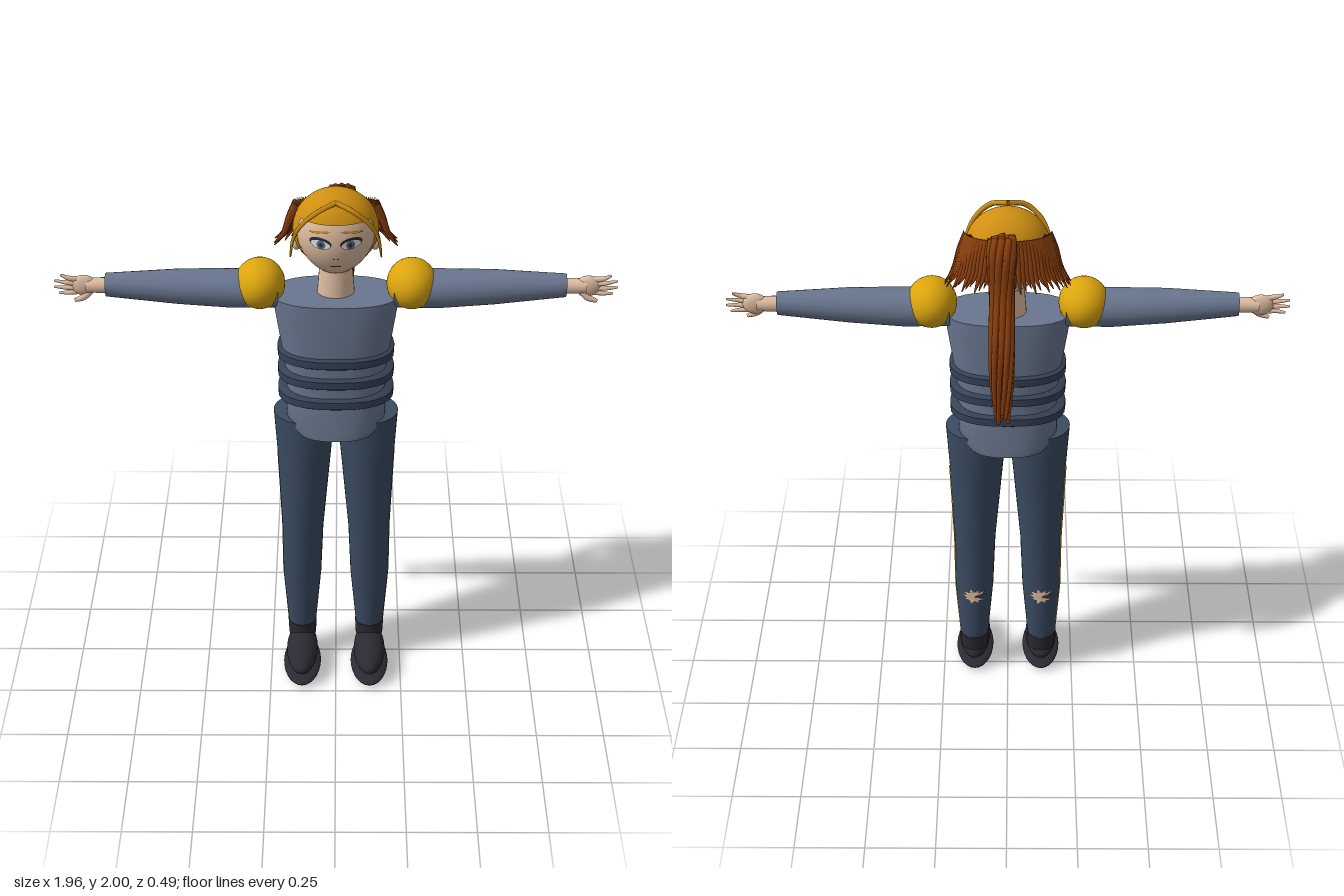
import * as THREE from 'three';
import { toCreasedNormals } from 'three/addons/utils/BufferGeometryUtils.js';

const mat = (name, color, side = THREE.FrontSide) => {
  const m = new THREE.MeshStandardMaterial({ color, side });
  m.name = name;
  return m;
};

export function createModel() {
  const root = new THREE.Group();
  const skin = mat('skin', 0xe0bda2), tunic = mat('tunic', 0x69768f), denim = mat('trousers', 0x3a4b62);
  const band = mat('belt', 0x364256), black = mat('shoe', 0x2b2a32, THREE.DoubleSide);
  const gold = mat('gold', 0xdca50e, THREE.DoubleSide), blond = mat('hair', 0xcf8f12, THREE.DoubleSide);
  const auburn = mat('auburn', 0x8c3f0c), white = mat('eyeWhite', 0xf0efee, THREE.DoubleSide);
  const iris = mat('iris', 0x586a92, THREE.DoubleSide);

  const add = (name, geo, material, parent = root) => {
    const m = new THREE.Mesh(geo, material);
    m.name = name;
    parent.add(m);
    return m;
  };
  const group = (name) => {
    const g = new THREE.Group();
    g.name = name;
    root.add(g);
    return g;
  };
  const ball = (x, y, z, rx, ry, rz) =>
    new THREE.SphereGeometry(1, 28, 18).scale(rx, ry, rz).translate(x, y, z);

  // Capped tube through elliptical sections [y, cx, cz, rx, rz]; power < 1 squares it off
  const loft = (rows, power = 1, sides = 28) => {
    const n = rows.length - 1, g = new THREE.CylinderGeometry(1, 1, 1, sides, n), p = g.attributes.position;
    const sq = (v) => Math.sign(v) * Math.abs(v) ** power;
    for (let i = 0; i < p.count; i++) {
      const [y, cx, cz, rx, rz] = rows[Math.round((p.getY(i) + 0.5) * n)];
      p.setXYZ(i, cx + sq(p.getX(i)) * rx, y, cz + sq(p.getZ(i)) * rz);
    }
    return toCreasedNormals(g, 0.8);
  };

  // Tapered strand along a curve
  const strand = (pts, r, tip = 0.1, seg = 8, sides = 6) => {
    const curve = new THREE.CatmullRomCurve3(pts.map((q) => new THREE.Vector3(...q)));
    const g = new THREE.TubeGeometry(curve, seg, r, sides), p = g.attributes.position;
    const v = new THREE.Vector3();
    for (let i = 0; i < p.count; i++) {
      const t = Math.floor(i / (sides + 1)) / seg, c = curve.getPointAt(t);
      v.fromBufferAttribute(p, i).sub(c).multiplyScalar(1 - (1 - tip) * t * t).add(c);
      p.setXYZ(i, v.x, v.y, v.z);
    }
    return g;
  };

  // Torso and belts
  add('torso', loft([
    [1.08, 0, 0.005, 0.155, 0.147], [1.11, 0, 0.005, 0.178, 0.145], [1.2, 0, 0.005, 0.18, 0.13],
    [1.28, 0, 0.005, 0.175, 0.125], [1.42, 0, 0.005, 0.195, 0.13], [1.55, 0, 0.005, 0.215, 0.125],
    [1.61, 0, 0.005, 0.22, 0.122]], 0.8), tunic);
  for (const y of [1.225, 1.308, 1.39])
    add('belt', loft([[-0.023, 0.19, 0.128], [-0.014, 0.207, 0.141], [0.014, 0.207, 0.141], [0.023, 0.19, 0.128]]
      .map(([dy, rx, rz]) => [y + dy, 0, 0.005, rx, rz]), 0.8), band);
  add('neck', loft([[1.6, 0, -0.005, 0.066, 0.06], [1.74, 0, -0.005, 0.055, 0.05]]), skin);

  // Head narrowing to the chin
  const HY = 1.845, HX = 0.134, HR = 0.155, HZ = 0.112;
  const jaw = (v) => (v < 0 ? 1 - 0.14 * v * v : 1);
  const headGeo = new THREE.SphereGeometry(1, 32, 24), hp = headGeo.attributes.position;
  for (let i = 0; i < hp.count; i++) {
    const v = hp.getY(i);
    hp.setXYZ(i, hp.getX(i) * HX * jaw(v), HY + v * HR, hp.getZ(i) * HZ);
  }
  add('head', toCreasedNormals(headGeo, 1), skin);

  // Face details laid on the head surface
  const face = group('face');
  const onFace = (name, x, y, rx, ry, lift, material, tilt = 0) => {
    const g = new THREE.CircleGeometry(1, 20).scale(rx, ry, 1).rotateZ(tilt).translate(x, y, 0);
    const p = g.attributes.position;
    for (let i = 0; i < p.count; i++) {
      const v = (p.getY(i) - HY) / HR, u = p.getX(i) / (HX * jaw(v));
      p.setZ(i, HZ * Math.sqrt(Math.max(0, 1 - u * u - v * v)) + lift);
    }
    g.computeVertexNormals();
    add(name, g, material, face);
  };
  for (const s of [1, -1]) {
    onFace('lash', s * 0.052, 1.849, 0.038, 0.02, 0.002, black, s * 0.12);
    onFace('eyeWhite', s * 0.052, 1.844, 0.033, 0.016, 0.004, white, s * 0.12);
    onFace('iris', s * 0.05, 1.845, 0.015, 0.016, 0.006, iris);
    onFace('pupil', s * 0.05, 1.845, 0.007, 0.008, 0.008, black);
    onFace('eyebrow', s * 0.055, 1.888, 0.038, 0.004, 0.004, blond, -s * 0.12);
    onFace('nostril', s * 0.007, 1.79, 0.003, 0.003, 0.003, auburn);
    add('ear', ball(s * 0.135, 1.8, 0.005, 0.016, 0.025, 0.015), skin);
  }
  onFace('mouth', 0, 1.755, 0.02, 0.003, 0.003, auburn);

  // Hair: a back shell, a top cap and two parted bangs
  const hair = group('hair');
  add('backHair', new THREE.SphereGeometry(1, 32, 20, 0, Math.PI * 2, 1.1, Math.PI - 1.1)
    .rotateX(Math.PI / 2).scale(0.148, 0.142, 0.11).translate(0, 1.856, 0), blond, hair);
  add('topHair', new THREE.SphereGeometry(1, 32, 12, 0, Math.PI * 2, 0, 1.14)
    .scale(0.148, 0.144, 0.12).translate(0, 1.856, 0), blond, hair);
  for (const s of [1, -1])
    add('bang', strand([[0, 1.985, 0.075], [s * 0.06, 1.965, 0.105], [s * 0.115, 1.915, 0.1],
      [s * 0.145, 1.85, 0.08], [s * 0.155, 1.78, 0.07]], 0.01, 0.3, 14), blond, hair);

  // Flaring fringe around the back of the head
  const fringe = group('fringe');
  for (let i = 0; i < 38; i++) {
    const a = Math.PI * i / 37, c = Math.cos(a), d = Math.sin(a), k = (i % 3) * 0.012;
    add('fringeStrand', strand([[c * 0.135, 1.93, -0.035 - d * 0.065], [c * 0.16, 1.87, -0.04 - d * 0.085],
      [c * 0.18, 1.81, -0.05 - d * 0.09], [c * 0.215, 1.75 + k, -0.07 - d * 0.075]], 0.016), auburn, fringe);
  }

  // Ponytail of bundled strands
  const tail = group('ponytail');
  const path = [[1.9, -0.085, 1], [1.95, -0.105, 1], [1.9, -0.135, 1.1], [1.77, -0.145, 0.9],
    [1.58, -0.208, 1], [1.43, -0.216, 0.9], [1.28, -0.21, 0.6]];
  for (let i = 0; i < 11; i++) {
    const a = i * Math.PI * 2 / 10, r = i < 10 ? 1 : 0;
    add('ponytailStrand', strand(path.map(([y, z, w], j) => [
      0.02 + r * w * 0.036 * Math.cos(a + j * 0.25), y + (j === 6 ? (i % 3) * 0.02 : 0),
      z + r * w * 0.019 * Math.sin(a + j * 0.25)]), 0.014, 0.5, 24), auburn, tail);
  }

  // Limbs, mirrored
  const legRows = [[0.15, 0.13, 0.002, 0.052, 0.052], [0.4, 0.128, 0.007, 0.072, 0.068],
    [0.62, 0.124, 0.014, 0.077, 0.076], [0.95, 0.116, 0.008, 0.098, 0.102], [1.13, 0.114, 0.005, 0.111, 0.105]];
  for (const s of [1, -1]) {
    const side = s > 0 ? 'left' : 'right';
    const arm = group(side + 'Arm'), leg = group(side + 'Leg');

    // Sleeve and shoulder
    add('shoulder', ball(s * 0.264, 1.642, 0, 0.088, 0.088, 0.1), gold, arm);
    add('sleeve', loft([[0.2, 1.622, 0.066, 0.072], [0.36, 1.622, 0.068, 0.074], [0.55, 1.628, 0.061, 0.063],
      [0.8, 1.634, 0.042, 0.037]].map(([x, y, ry, rz]) => [x, -s * y, 0, ry, rz])).rotateZ(-s * Math.PI / 2), tunic, arm);

    // Hand
    add('wrist', strand([[s * 0.79, 1.632, 0], [s * 0.87, 1.632, 0]], 0.028, 0.9, 3, 14), skin, arm);
    add('palm', ball(s * 0.877, 1.632, 0, 0.045, 0.039, 0.019), skin, arm);
    [[0.955, 1.672], [0.978, 1.65], [0.98, 1.626], [0.965, 1.602]].forEach(([x, y], i) =>
      add('finger', strand([[s * 0.89, 1.656 - i * 0.016, 0], [s * 0.93, 1.662 - i * 0.019, 0.004],
        [s * x, y, 0]], 0.0105, 0.4), skin, arm));
    add('thumb', strand([[s * 0.855, 1.612, 0.004], [s * 0.88, 1.59, 0.01], [s * 0.91, 1.578, 0.01]], 0.013, 0.5), skin, arm);

    // Trouser leg with side stripe
    add('trouserLeg', loft(legRows.map(([y, x, z, rx, rz]) => [y, s * x, z, rx, rz])), denim, leg);
    add('stripe', loft(legRows.slice(0, 4).map(([y, x, , rx]) => [y, s * (x + rx - 0.001), -0.004, 0.003, 0.005]), 1, 8), gold, leg);

    // Jagged tear showing the calf
    const tear = new THREE.Shape();
    for (let i = 0; i < 20; i++) {
      const a = i * Math.PI / 10, r = i % 2 ? 0.55 : 1;
      tear.lineTo(0.055 * r * Math.cos(a), 0.042 * r * Math.sin(a) * (i % 4 ? 1 : 0.8));
    }
    const tg = new THREE.ShapeGeometry(tear).toNonIndexed(), tp = tg.attributes.position;
    for (let i = 0; i < tp.count; i++) {
      const x = tp.getX(i);
      tp.setXYZ(i, s * 0.128 - x, 0.385 + tp.getY(i), 0.007 - 0.077 * Math.sqrt(1 - (x / 0.077) ** 2));
    }
    tg.computeVertexNormals();
    add('tear', tg, skin, leg);

    // Shoe
    add('ankleCuff', loft([[0.1, s * 0.13, 0.005, 0.052, 0.052], [0.165, s * 0.13, 0.003, 0.055, 0.055]]), black, leg);
    add('shoe', ball(s * 0.13, 0.08, 0.088, 0.06, 0.052, 0.147), black, leg);
    add('sole', ball(s * 0.13, 0.022, 0.09, 0.072, 0.022, 0.152), black, leg);
  }
  return root;
}
